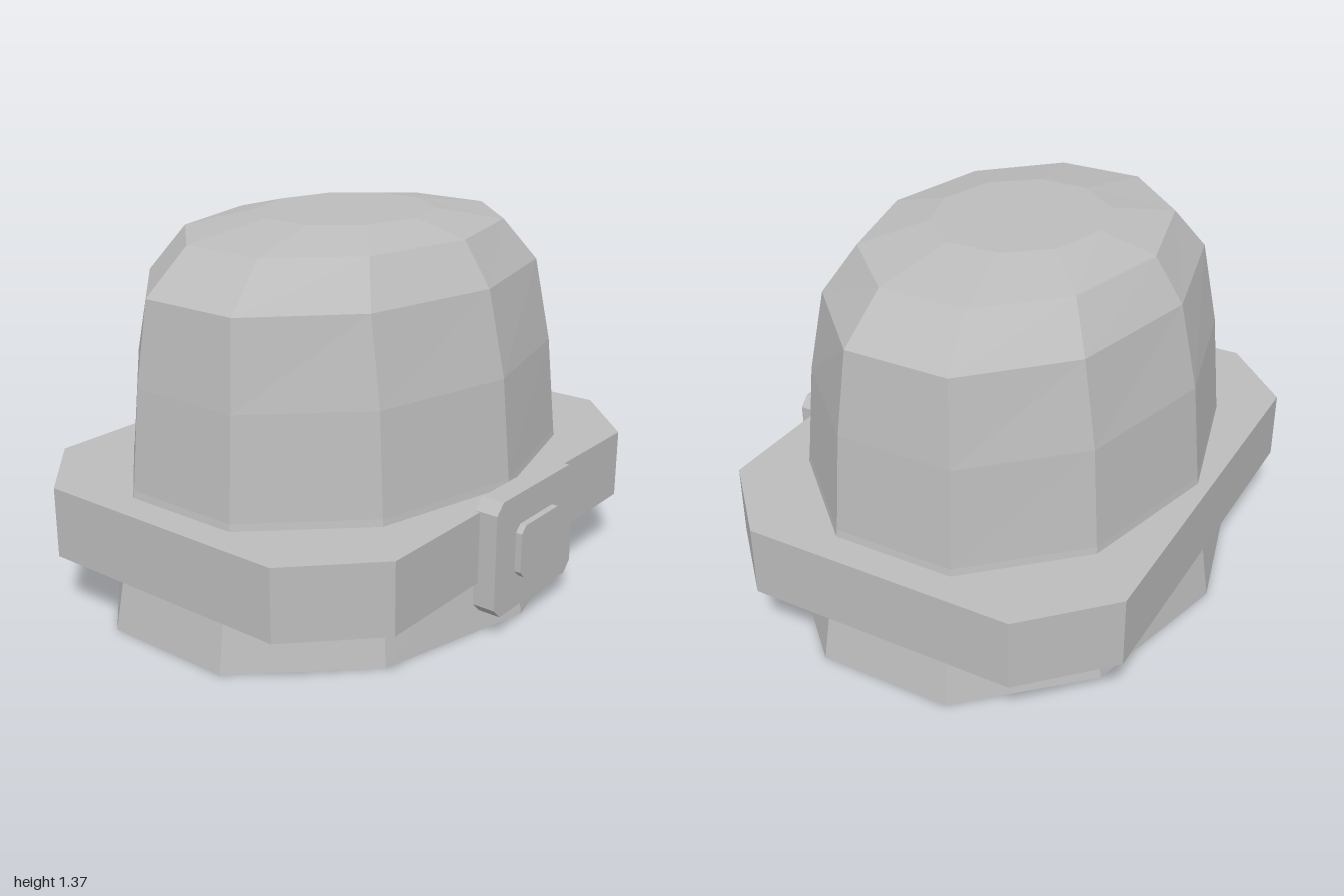
import * as THREE from 'three';

const grey = new THREE.MeshStandardMaterial({ color: 0xbcbcbc, flatShading: true });
grey.name = 'grey';

function addPart(group, name, geometry) {
  const mesh = new THREE.Mesh(geometry, grey);
  mesh.name = name;
  group.add(mesh);
  return mesh;
}

// Ten-sided dome: each ring is [height, x radius, z radius], top to bottom
function domeGeometry() {
  const rings = [
    [1.37, 0.347, 0.308],
    [1.32, 0.683, 0.515],
    [1.165, 0.855, 0.62],
    [0.86, 0.895, 0.689],
    [0.5, 0.927, 0.724],
    [0, 1.025, 0.797],
  ];
  const rows = rings.length - 1;
  const geometry = new THREE.CylinderGeometry(1, 1, 1, 10, rows);
  const pos = geometry.attributes.position;
  for (let i = 0; i < pos.count; i++) {
    const [y, rx, rz] = rings[Math.round((0.5 - pos.getY(i)) * rows)];
    pos.setXYZ(i, pos.getX(i) * rx, y, pos.getZ(i) * rz - 0.034);
  }
  geometry.computeVertexNormals();
  return geometry;
}

// Rectangular slab with cut corners, extruded along +z
function chamferedSlab(halfW, halfH, cutX, cutY, depth) {
  const shape = new THREE.Shape([
    [halfW, -halfH + cutY], [halfW, halfH - cutY],
    [halfW - cutX, halfH], [-halfW + cutX, halfH],
    [-halfW, halfH - cutY], [-halfW, -halfH + cutY],
    [-halfW + cutX, -halfH], [halfW - cutX, -halfH],
  ].map(([x, y]) => new THREE.Vector2(x, y)));
  return new THREE.ExtrudeGeometry(shape, { depth, bevelEnabled: false });
}

export function createModel() {
  const model = new THREE.Group();
  model.name = 'beltedDome';

  addPart(model, 'dome', domeGeometry());

  // Wide belt lying flat around the dome
  const belt = chamferedSlab(1, 0.774, 0.275, 0.272, 0.26);
  belt.rotateX(-Math.PI / 2);
  addPart(model, 'belt', belt).position.set(0, 0.215, -0.036);

  // Buckle plate and its raised centre
  addPart(model, 'bucklePlate', chamferedSlab(0.255, 0.212, 0.038, 0.038, 0.085))
    .position.set(0, 0.303, 0.721);
  addPart(model, 'buckleCentre', chamferedSlab(0.131, 0.097, 0.025, 0.025, 0.04))
    .position.set(0, 0.303, 0.79);

  return model;
}
